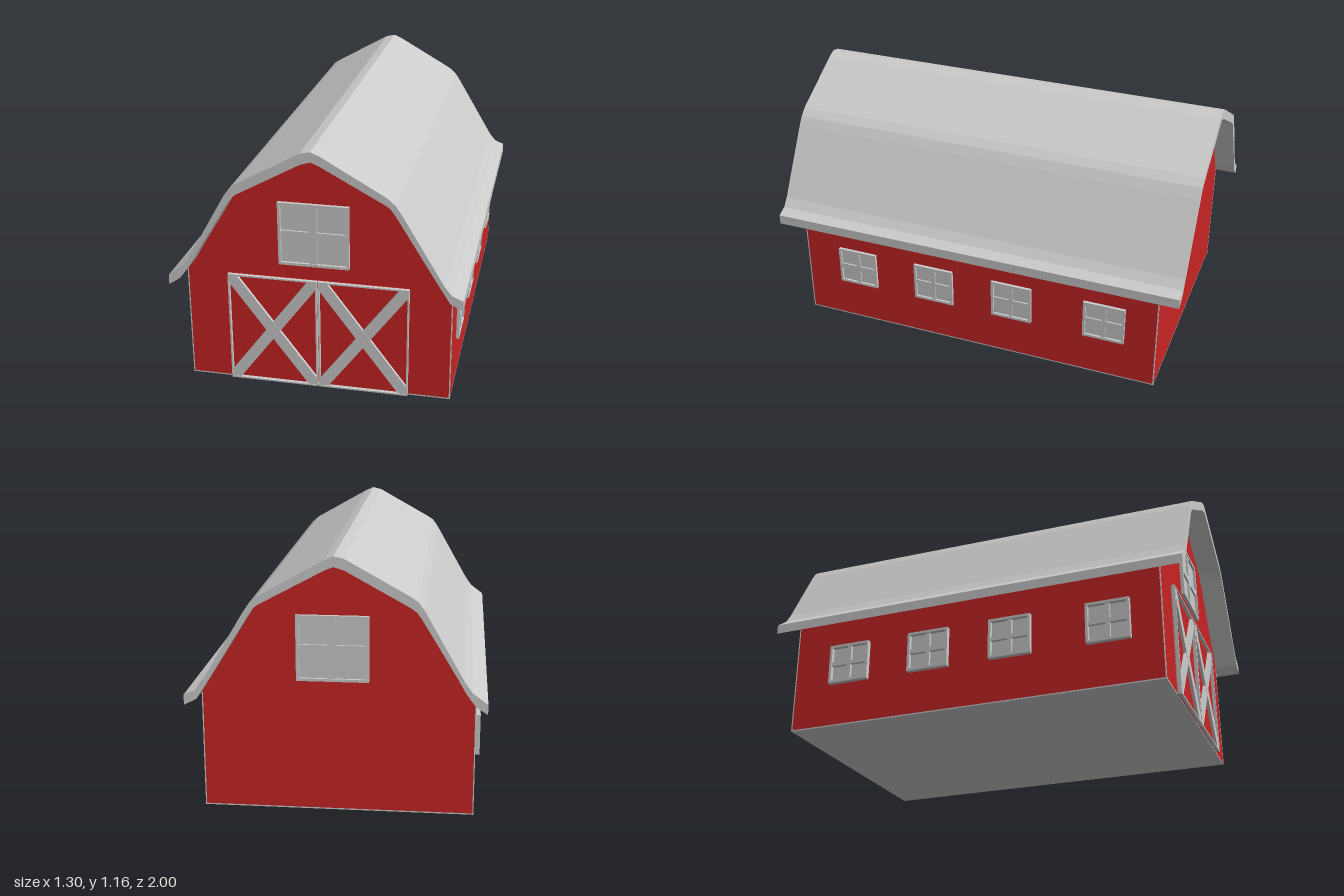
import * as THREE from 'three';

const red = new THREE.MeshStandardMaterial({ color: 0xc82424 });
red.name = 'barn red';
const grey = new THREE.MeshStandardMaterial({ color: 0xcccccc });
grey.name = 'light grey';

function add(parent, name, geometry, material) {
  const mesh = new THREE.Mesh(geometry, material);
  mesh.name = name;
  parent.add(mesh);
  return mesh;
}

// Box given by its limits on each axis
function box(parent, name, material, x0, x1, y0, y1, z0, z1) {
  const mesh = add(parent, name, new THREE.BoxGeometry(x1 - x0, y1 - y0, z1 - z0), material);
  mesh.position.set((x0 + x1) / 2, (y0 + y1) / 2, (z0 + z1) / 2);
  return mesh;
}

// Outline in x and y, pulled along z
function slab(parent, name, material, points, z0, z1) {
  const shape = new THREE.Shape(points.map(([x, y]) => new THREE.Vector2(x, y)));
  const geometry = new THREE.ExtrudeGeometry(shape, { depth: z1 - z0, bevelEnabled: false });
  geometry.translate(0, 0, z0);
  return add(parent, name, geometry, material);
}

// Four bars around a rectangle
function border(parent, name, x0, x1, y0, y1, w, depth) {
  box(parent, name, grey, x0, x0 + w, y0, y1, 0, depth);
  box(parent, name, grey, x1 - w, x1, y0, y1, 0, depth);
  box(parent, name, grey, x0 + w, x1 - w, y0, y0 + w, 0, depth);
  box(parent, name, grey, x0 + w, x1 - w, y1 - w, y1, 0, depth);
}

// Four-pane window centred on its own origin, facing +z
function makeWindow(name, w, h, depth) {
  const g = new THREE.Group();
  g.name = name;
  const bar = w * 0.05;
  box(g, 'panes', grey, -w / 2, w / 2, -h / 2, h / 2, -0.005, 0.004);
  border(g, 'windowFrame', -w / 2, w / 2, -h / 2, h / 2, 0.012, depth);
  box(g, 'uprightBar', grey, -bar, bar, -h / 2, h / 2, 0, depth * 0.8);
  box(g, 'crossBar', grey, -w / 2, w / 2, -bar, bar, 0, depth * 0.8);
  return g;
}

// Door leaf with a thin border and an X brace, facing +z
function makeDoor(x0, x1) {
  const g = new THREE.Group();
  g.name = 'door';
  const y0 = 0.004, y1 = 0.53, a = 0.038, b = 0.034, c = 0.012;
  box(g, 'doorPanel', red, x0, x1, y0, y1, -0.005, 0.004);
  border(g, 'doorBorder', x0, x1, y0, y1, 0.007, 0.02);
  const brace = [
    [x0, y1 - b], [x0, y1 - c], [x0 + c, y1], [x0 + a, y1],
    [x1, y0 + b], [x1, y0 + c], [x1 - c, y0], [x1 - a, y0],
  ];
  slab(g, 'brace', grey, brace, 0, 0.018);
  slab(g, 'brace', grey, brace.map(([x, y]) => [x0 + x1 - x, y]).reverse(), 0, 0.017);
  return g;
}

export function createModel() {
  const barn = new THREE.Group();
  barn.name = 'barn';
  const front = 0.89, back = -0.9, left = 0.592, right = -0.6;

  // Gambrel roof section: top line, then underside
  const roofTop = [
    [-0.648, 0.546], [-0.582, 0.595], [-0.548, 0.643], [-0.378, 0.943], [-0.35, 0.981],
    [-0.322, 1.0], [-0.045, 1.155], [0, 1.165], [0.04, 1.148], [0.322, 0.988],
    [0.357, 0.957], [0.385, 0.915], [0.568, 0.609], [0.6, 0.57], [0.648, 0.55],
  ];
  const roofUnder = [
    [-0.648, 0.501], [-0.596, 0.536], [-0.555, 0.591], [-0.52, 0.653], [-0.364, 0.911],
    [-0.345, 0.936], [-0.322, 0.953], [-0.045, 1.106], [0, 1.12], [0.035, 1.106],
    [0.319, 0.953], [0.338, 0.938], [0.357, 0.911], [0.54, 0.616], [0.593, 0.532], [0.648, 0.504],
  ];
  slab(barn, 'roof', grey, [...roofUnder, ...[...roofTop].reverse()], -1, 1);

  // Walls follow the underside of the roof
  const wall = [[right, 0.006], [left, 0.006], [left, 0.533], ...roofUnder.slice(2, -2).reverse(), [right, 0.533]];
  slab(barn, 'walls', red, wall, back, front);
  box(barn, 'floor', grey, right, left, 0, 0.006, back, front);

  // Thin corner trim
  for (const x of [right, left]) {
    for (const z of [back, front]) {
      const sx = Math.sign(x), sz = Math.sign(z);
      const xs = [x - sx * 0.004, x + sx * 0.001].sort((p, q) => p - q);
      const zs = [z - sz * 0.004, z + sz * 0.001].sort((p, q) => p - q);
      box(barn, 'cornerTrim', grey, ...xs, 0, 0.53, ...zs);
    }
  }

  // Barn doors
  for (const [x0, x1] of [[-0.41, -0.005], [0, 0.405]]) {
    const door = makeDoor(x0, x1);
    door.position.z = front;
    barn.add(door);
  }

  // Loft windows, one in each gable
  for (const side of [1, -1]) {
    const loft = makeWindow('loftWindow', 0.315, 0.292, 0.016);
    loft.position.set(-0.017 * side, 0.745, side > 0 ? front : back);
    loft.rotation.y = side > 0 ? 0 : Math.PI;
    barn.add(loft);
  }

  // Side windows, the same row turned half round on the other wall
  for (const side of [1, -1]) {
    for (const z of [0.61, 0.205, -0.195, -0.65]) {
      const pane = makeWindow('sideWindow', 0.2, 0.19, side > 0 ? 0.014 : 0.024);
      pane.position.set(side > 0 ? left : right, 0.302, z * side);
      pane.rotation.y = (side * Math.PI) / 2;
      barn.add(pane);
    }
  }
  return barn;
}
